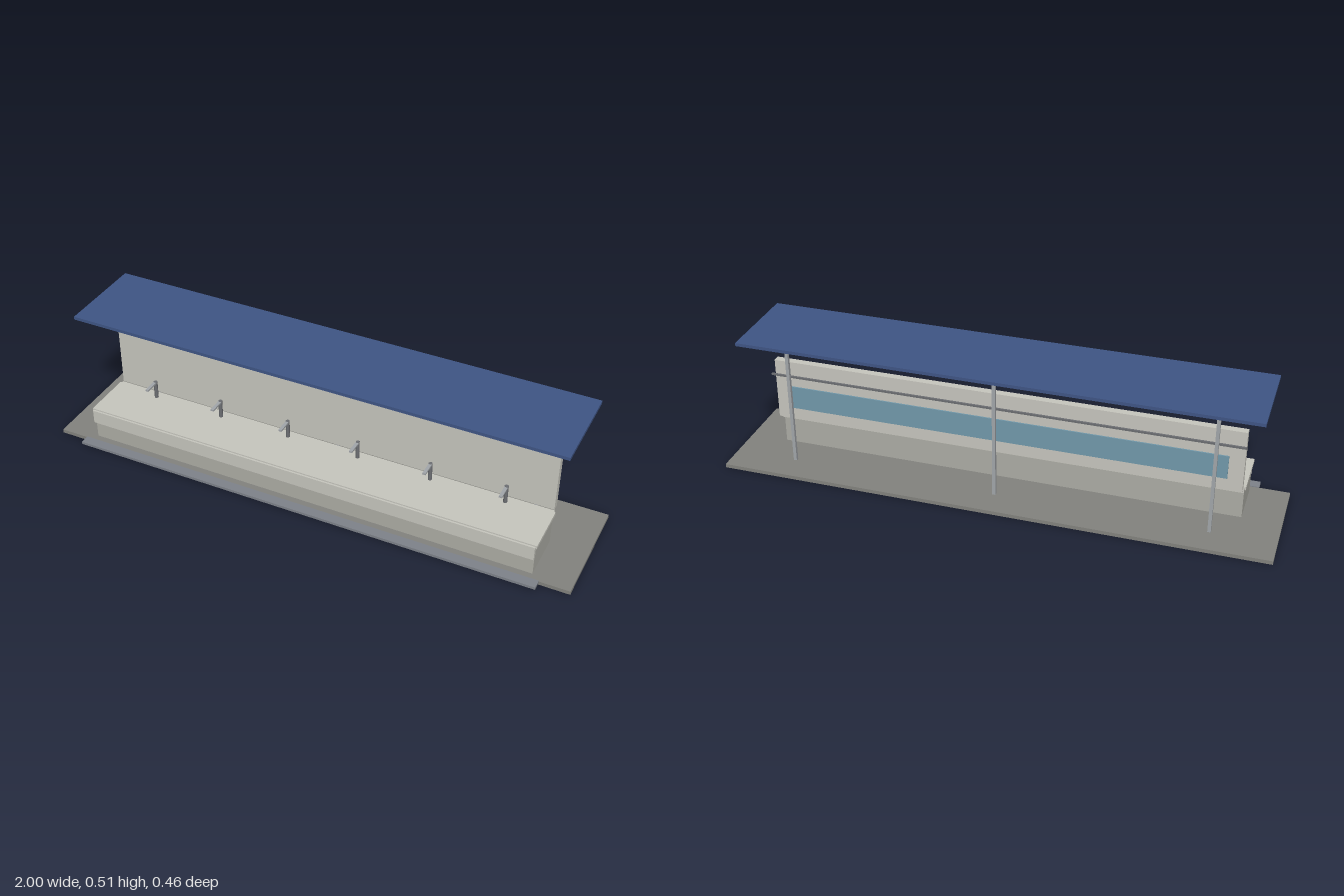
import * as THREE from 'three';

export function createModel() {
  const model = new THREE.Group();
  const mat = (color) => new THREE.MeshStandardMaterial({ color });
  const paving = mat(0x83837e), kerbGrey = mat(0x7e828a), stone = mat(0xadada5);
  const paleStone = mat(0xc7c6be), blue = mat(0x3f5585), glass = mat(0x7299ab), steel = mat(0xa2a6aa), darkSteel = mat(0x6c6e72);

  // Box given by its x, y and z limits
  function box(name, material, [x0, x1], [y0, y1], [z0, z1], parent = model) {
    const mesh = new THREE.Mesh(new THREE.BoxGeometry(x1 - x0, y1 - y0, z1 - z0), material);
    mesh.position.set((x0 + x1) / 2, (y0 + y1) / 2, (z0 + z1) / 2);
    mesh.name = name;
    parent.add(mesh);
    return mesh;
  }
  const wide = (h) => [-h, h];

  // Ground slab and the kerb along its front
  box('groundSlab', paving, wide(1), [0, 0.014], [-0.232, 0.197]);
  box('frontKerb', kerbGrey, wide(0.89), [0.007, 0.017], [0.196, 0.233]);

  // Bench: plinth, seat slab, front lip and rear ledge
  box('benchPlinth', stone, wide(0.859), [0.002, 0.132], [-0.007, 0.17]);
  box('seatSlab', paleStone, wide(0.865), [0.13, 0.143], [-0.013, 0.176]);
  box('seatFrontLip', paleStone, wide(0.86), [0.085, 0.138], [0.168, 0.183]);
  box('seatRearLedge', paleStone, wide(0.86), [0.123, 0.1425], [-0.022, -0.006]);

  // Back wall with the inset panel on its rear face
  box('backWall', paleStone, wide(0.857), [0.144, 0.377], [-0.05, -0.023]);
  box('rearPanel', glass, wide(0.803), [0.19, 0.278], [-0.055, -0.048]);

  // Armrests: a round post with an arm reaching forward
  for (let i = 0; i < 6; i++) {
    const armrest = new THREE.Group();
    armrest.name = 'armrest';
    armrest.position.x = -0.69 + i * 0.2766;
    const post = new THREE.Mesh(new THREE.CylinderGeometry(0.0075, 0.0075, 0.071, 8), darkSteel.clone());
    post.material.flatShading = true;
    post.position.set(0, 0.1775, 0.0095);
    post.name = 'armrestPost';
    armrest.add(post);
    box('armrestArm', steel, wide(0.006), [0.206, 0.2125], [0.008, 0.07], armrest);
    model.add(armrest);
  }

  // Roof posts, each with a sloping bracket up to the roof
  for (const x of [-0.768, 0, 0.768]) {
    box('roofPost', steel, [x - 0.006, x + 0.006], [0.012, 0.457], [-0.13, -0.118]);
    const from = new THREE.Vector3(x, 0.459, -0.125), to = new THREE.Vector3(x, 0.491, -0.018);
    const bracket = new THREE.Mesh(new THREE.BoxGeometry(0.008, 0.008, from.distanceTo(to)), steel);
    bracket.position.copy(from).lerp(to, 0.5);
    bracket.lookAt(to);
    bracket.name = 'roofBracket';
    model.add(bracket);
  }

  // Long rails and the roof
  box('upperRail', darkSteel, wide(0.91), [0.464, 0.474], [-0.128, -0.119]);
  box('rearRail', darkSteel, wide(0.86), [0.328, 0.335], [-0.0765, -0.0695]);
  box('roof', blue, wide(0.926), [0.495, 0.507], [-0.198, 0.14]);
  return model;
}
